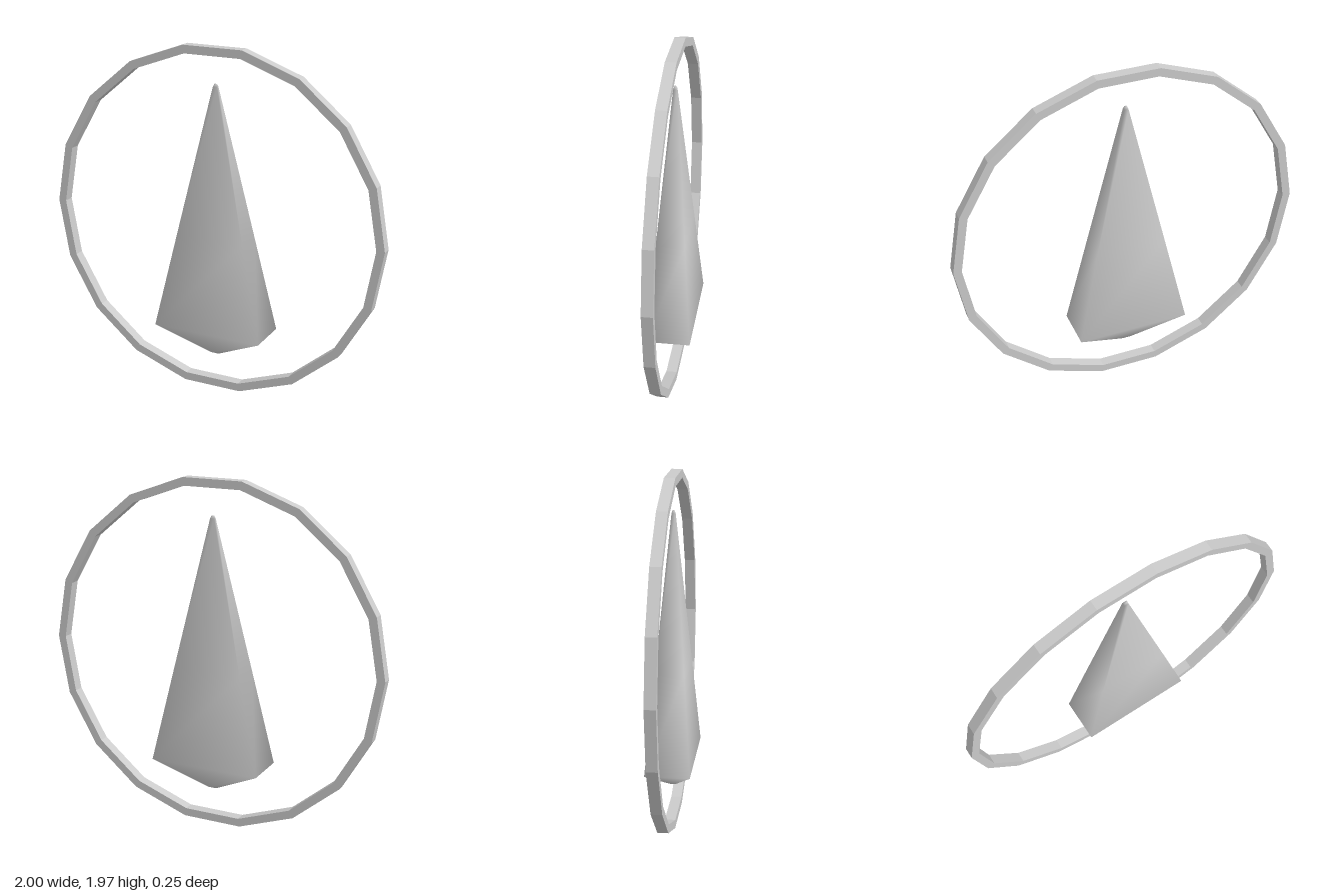
import * as THREE from 'three';

const material = new THREE.MeshStandardMaterial({ color: 0xcccccc });

// Regular polygon with its first corner on +x
function polygon(PathType, radius, sides) {
  const points = [];
  for (let i = 0; i < sides; i++) {
    const a = (i / sides) * Math.PI * 2;
    points.push(new THREE.Vector2(radius * Math.cos(a), radius * Math.sin(a)));
  }
  return new PathType(points);
}

// Closed solid through rectangular sections [y, halfWidth, halfDepth], bottom to top
function rectLoft(sections) {
  const corners = [[1, 1], [1, -1], [-1, -1], [-1, 1]];
  const positions = [];
  const index = [];
  for (const [y, w, d] of sections) {
    for (const [sx, sz] of corners) positions.push(sx * w, y, sz * d);
  }
  for (let r = 0; r < sections.length - 1; r++) {
    for (let i = 0; i < 4; i++) {
      const a = r * 4 + i;
      const b = r * 4 + ((i + 1) % 4);
      index.push(a, b, b + 4, a, b + 4, a + 4);
    }
  }
  const t = (sections.length - 1) * 4;
  index.push(0, 2, 1, 0, 3, 2, t, t + 1, t + 2, t, t + 2, t + 3);
  const geometry = new THREE.BufferGeometry();
  geometry.setAttribute('position', new THREE.Float32BufferAttribute(positions, 3));
  geometry.setIndex(index);
  geometry.computeVertexNormals();
  return geometry;
}

export function createModel() {
  const group = new THREE.Group();

  // Eighteen-sided flat ring
  const outline = polygon(THREE.Shape, 1, 18);
  outline.holes.push(polygon(THREE.Path, 0.953, 18));
  const ringGeometry = new THREE.ExtrudeGeometry(outline, { depth: 0.06, bevelEnabled: false });
  ringGeometry.translate(0, 0, -0.03);
  const ring = new THREE.Mesh(ringGeometry, material);
  ring.name = 'ring';
  ring.position.y = 0.985;
  group.add(ring);

  // Tall tapered pointer with a short blunt underside
  const pointer = new THREE.Mesh(rectLoft([
    [0.2, 0.025, 0.012],
    [0.36, 0.323, 0.125],
    [0.91, 0.201, 0.08],
    [1.755, 0.012, 0.01],
    [1.77, 0.006, 0.005],
  ]), material);
  pointer.name = 'pointer';
  pointer.position.x = 0.008;
  group.add(pointer);

  return group;
}
